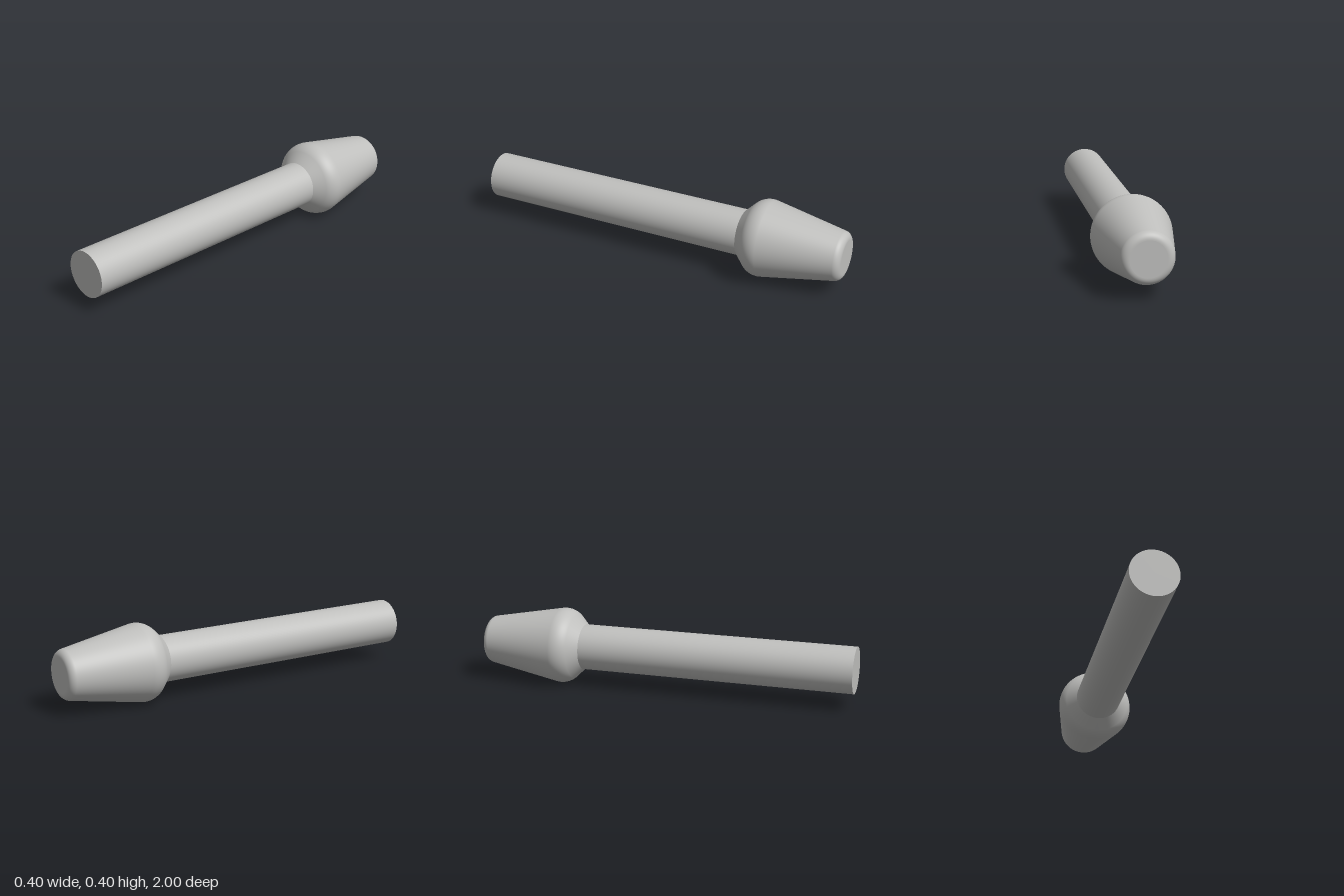
import * as THREE from 'three';

const SEGMENTS = 96;
const v = (r, d) => new THREE.Vector2(r, d);

// Points of a rounded corner: centre radius, centre depth, fillet radius, angles in degrees
function arc(r, d, fillet, from, to, steps) {
  const points = [];
  for (let i = 0; i <= steps; i++) {
    const a = THREE.MathUtils.degToRad(from + (to - from) * i / steps);
    points.push(v(r + fillet * Math.cos(a), d + fillet * Math.sin(a)));
  }
  return points;
}

export function createModel() {
  const group = new THREE.Group();
  const steel = new THREE.MeshStandardMaterial({ color: 0xbfbfbd });
  steel.name = 'plain grey';

  // Turned part: profile of (radius, depth), depth running towards the back
  const turn = (name, points) => {
    const geometry = new THREE.LatheGeometry(points, SEGMENTS);
    geometry.rotateX(-Math.PI / 2);
    const mesh = new THREE.Mesh(geometry, steel);
    mesh.name = name;
    mesh.position.y = 0.2;
    group.add(mesh);
  };

  // Straight shank with a flat front end
  turn('shankEnd', [v(0, -1), v(0.12, -1)]);
  turn('shank', [v(0.12, -1), v(0.12, 0.45)]);

  // Head: flared collar, rounded shoulder, taper and rounded tip
  turn('head', [
    v(0.12, 0.45),
    ...arc(0.1, 0.57, 0.1, -45, 10.5, 14),
    ...arc(0.0888, 0.96, 0.04, 10.5, 90, 12),
  ]);
  turn('headTip', [v(0.0888, 1), v(0, 1)]);

  return group;
}
